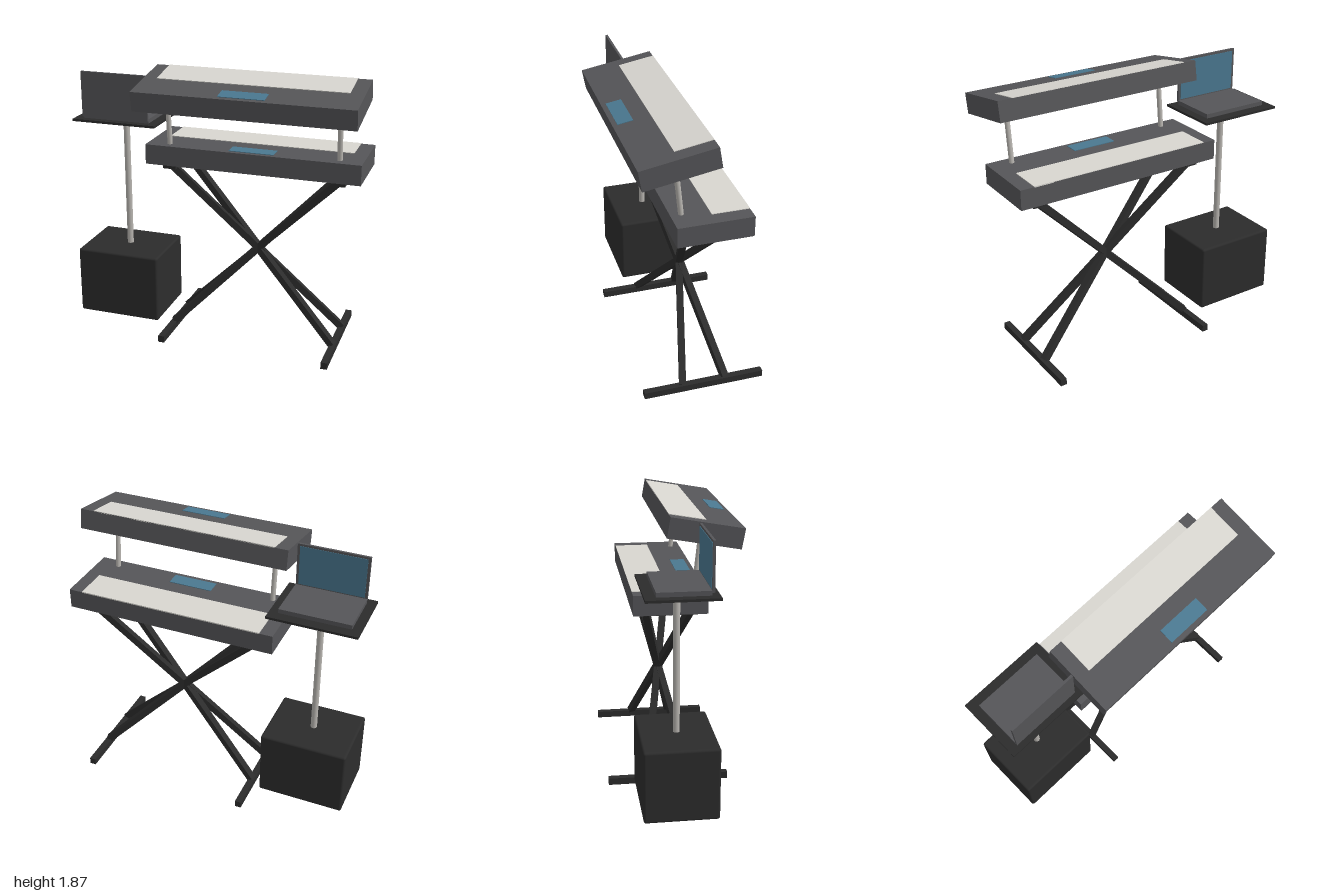
import * as THREE from 'three';
import { RoundedBoxGeometry } from 'three/addons/geometries/RoundedBoxGeometry.js';

const material = (name, color) => {
  const m = new THREE.MeshStandardMaterial({ color });
  m.name = name;
  return m;
};

export function createModel() {
  const model = new THREE.Group();
  model.name = 'keyboardWorkstation';

  const grey = material('casing grey', 0x555558);
  const black = material('stand black', 0x2c2c2c);
  const ivory = material('key ivory', 0xd8d6d0);
  const blue = material('display blue', 0x4a7890);
  const metal = material('brushed metal', 0xb8b5b0);

  const add = (parent, name, geometry, mat, x = 0, y = 0, z = 0) => {
    const mesh = new THREE.Mesh(geometry, mat);
    mesh.name = name;
    mesh.position.set(x, y, z);
    parent.add(mesh);
    return mesh;
  };
  const box = (parent, name, mat, w, h, d, x, y, z) =>
    add(parent, name, new THREE.BoxGeometry(w, h, d), mat, x, y, z);

  // Straight member between two points: round rod or square bar
  const rod = (name, a, b, radius) => {
    const dir = b.clone().sub(a);
    const mesh = add(model, name, new THREE.CylinderGeometry(radius, radius, dir.length(), 20), metal);
    mesh.position.copy(a).add(b).multiplyScalar(0.5);
    mesh.quaternion.setFromUnitVectors(new THREE.Vector3(0, 1, 0), dir.normalize());
  };
  const bar = (name, a, b, size) => {
    const mesh = box(model, name, black, size, size, a.distanceTo(b), 0, 0, 0);
    mesh.position.copy(a).add(b).multiplyScalar(0.5);
    mesh.lookAt(b);
  };
  const v = (x, y, z) => new THREE.Vector3(x, y, z);

  const midX = 0.27, midZ = -0.032;

  // Two keyboards, the upper one tilted towards the front
  const keyboard = (name, y, z, tilt) => {
    const g = new THREE.Group();
    g.name = name;
    box(g, 'keyboardBody', grey, 1.46, 0.135, 0.48, 0, 0, 0);
    box(g, 'keyStrip', ivory, 1.275, 0.008, 0.24, -0.002, 0.0675, -0.12);
    box(g, 'displayPanel', blue, 0.305, 0.008, 0.1, -0.002, 0.0675, 0.16);
    g.position.set(midX, y, z);
    g.rotation.x = tilt;
    model.add(g);
  };
  keyboard('lowerKeyboard', 1.3075, midZ, 0);
  keyboard('upperKeyboard', 1.76, 0.19, THREE.MathUtils.degToRad(10));

  // Stand: feet, top rails, supports and bars crossing at the centre
  for (const side of [-1, 1]) {
    const x = midX + side * 0.578;
    box(model, 'standFoot', black, 0.043, 0.047, 0.82, x, 0.0235, -0.03);
    box(model, 'standTopRail', black, 0.09, 0.035, 0.39, x, 1.2225, -0.03);
    rod('upperSupport', v(x, 1.36, 0.139), v(x, 1.71, 0.177), 0.017);
    for (const s of [-1, 1]) {
      bar('standBar', v(x, 0.045, -0.03 + s * 0.146),
        v(midX - side * 0.578, 1.222, -0.03 - s * 0.146), 0.046);
    }
  }

  // Amplifier box with pole and tray
  add(model, 'amplifierBox', new RoundedBoxGeometry(0.6, 0.48, 0.48, 2, 0.015), black, -0.7, 0.305, midZ);
  rod('trayPole', v(-0.7, 0.53, -0.03), v(-0.7, 1.488, -0.03), 0.022);
  box(model, 'tray', black, 0.6, 0.016, 0.45, -0.7, 1.493, -0.03);

  // Open laptop, its screen facing the back
  const laptop = new THREE.Group();
  laptop.name = 'laptop';
  laptop.position.set(-0.7, 1.5, 0);
  model.add(laptop);
  box(laptop, 'laptopBase', grey, 0.48, 0.03, 0.33, 0, 0.015, -0.02);
  box(laptop, 'laptopLid', grey, 0.48, 0.31, 0.016, 0, 0.173, 0.153);
  box(laptop, 'laptopScreen', blue, 0.445, 0.275, 0.004, 0, 0.175, 0.144);

  return model;
}
